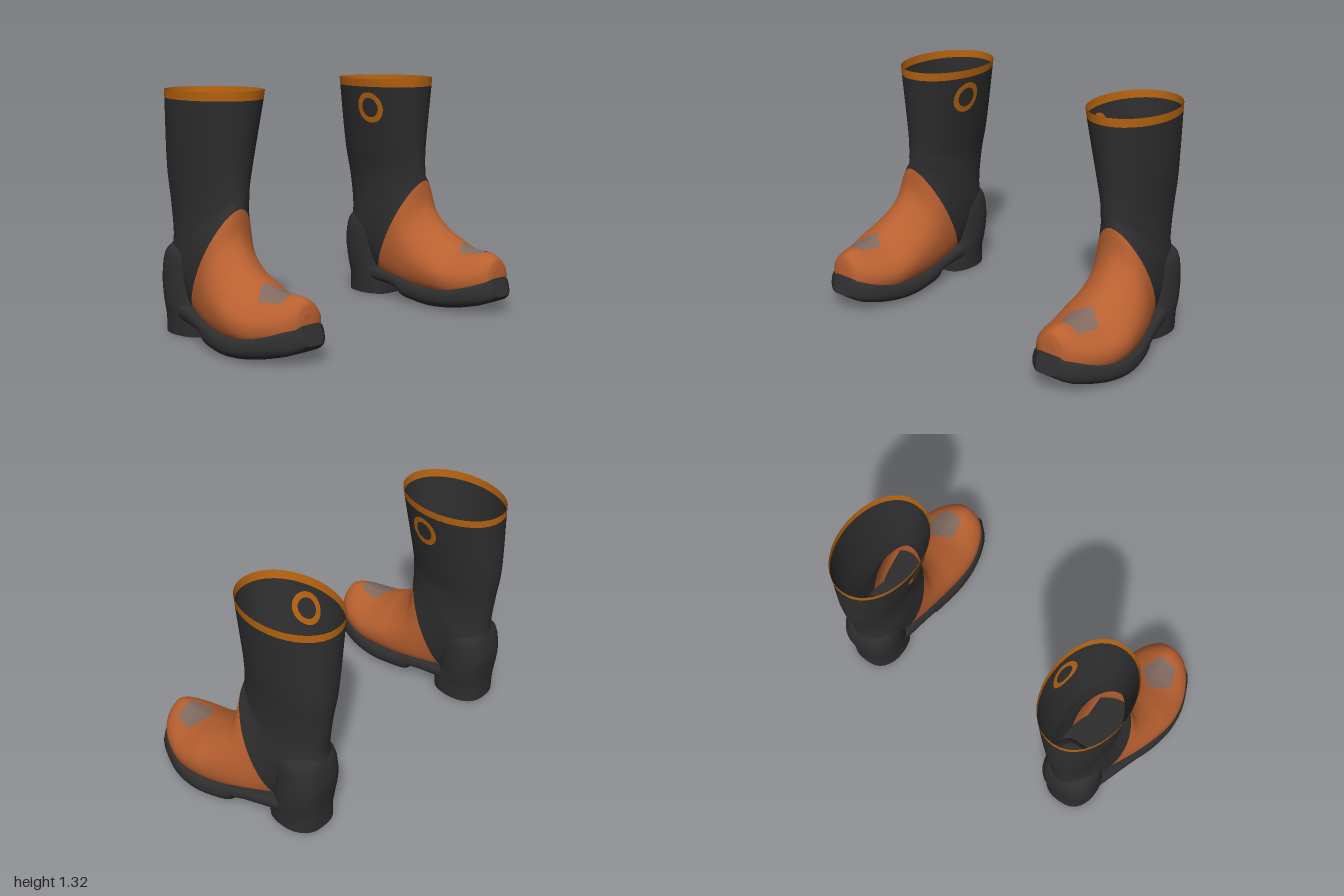
import * as THREE from 'three';

const mat = (name, color) => {
  const m = new THREE.MeshStandardMaterial({ color, side: THREE.DoubleSide });
  m.name = name;
  return m;
};

const SEG = 36;

// One closed section: [z, y of front, z, y of back, xInner, xOuter],
// with its widest point shifted by skew and its corners squared by exponents
function section([fz, fy, bz, by, x0, x1], [skew, eFront, eBack]) {
  return Array.from({ length: SEG }, (_, j) => {
    const a = (j / SEG) * Math.PI * 2, s = Math.sin(a), c = Math.cos(a);
    const t = Math.pow((1 - c) / 2, skew);
    const w = Math.abs(s) < 1e-6 ? 0 : Math.sign(s) * Math.pow(Math.abs(s), c > 0 ? eFront : eBack);
    return new THREE.Vector3((x0 + x1) / 2 + w * (x1 - x0) / 2, fy + (by - fy) * t, fz + (bz - fz) * t);
  });
}

// Smooth skin over a list of sections, with a cap at the end and, if wanted, the start
function loft(defs, style, sub, capStart) {
  const rings = defs.map((d, i) => section(d, style(i))), rows = (defs.length - 1) * sub;
  const curves = rings[0].map((_, j) => new THREE.CatmullRomCurve3(rings.map(r => r[j])));
  const pos = [], idx = [];
  for (let i = 0; i <= rows; i++)
    for (const c of curves) pos.push(...c.getPoint(i / rows).toArray());
  for (let i = 0; i < rows; i++)
    for (let j = 0; j < SEG; j++) {
      const a = i * SEG + j, b = i * SEG + (j + 1) % SEG;
      idx.push(a, a + SEG, b, b, a + SEG, b + SEG);
    }
  const cap = (row, flip) => {
    const start = pos.length / 3, mid = [0, 0, 0];
    for (let j = 0; j < SEG; j++)
      for (let d = 0; d < 3; d++) {
        const v = pos[(row * SEG + j) * 3 + d];
        pos.push(v);
        mid[d] += v / SEG;
      }
    pos.push(...mid);
    for (let j = 0; j < SEG; j++) {
      const a = start + j, b = start + (j + 1) % SEG;
      idx.push(start + SEG, ...(flip ? [a, b] : [b, a]));
    }
  };
  if (capStart) cap(0, true);
  cap(rows, false);
  const g = new THREE.BufferGeometry();
  g.setAttribute('position', new THREE.Float32BufferAttribute(pos, 3));
  g.setIndex(idx);
  g.computeVertexNormals();
  return g;
}

// Lays a flat pattern on a surface by casting every vertex along dir
function drape(geo, target, place, dir, offset) {
  const p = geo.attributes.position, ray = new THREE.Raycaster();
  for (let i = 0; i < p.count; i++) {
    const from = place(p.getX(i), p.getY(i));
    ray.set(from, dir);
    const v = ray.intersectObject(target)[0].point.addScaledVector(dir, -offset);
    p.setXYZ(i, v.x, v.y, v.z);
  }
  geo.computeVertexNormals();
  return geo;
}

// Copy reflected across x = 0, with corner order restored
function mirrorX(group) {
  const out = new THREE.Group();
  for (const m of group.children) {
    const g = m.geometry.clone().applyMatrix4(new THREE.Matrix4().makeScale(-1, 1, 1));
    const ix = g.index;
    for (let i = 0; i < ix.count; i += 3) {
      const b = ix.getX(i + 1);
      ix.setX(i + 1, ix.getX(i + 2));
      ix.setX(i + 2, b);
    }
    const copy = new THREE.Mesh(g, m.material);
    copy.name = m.name;
    out.add(copy);
  }
  return out;
}

function buildBoot() {
  const rubber = mat('black rubber', 0x2e2e2e);
  const leather = mat('orange leather', 0xb86030);
  const trim = mat('amber trim', 0xb86410);
  const grey = mat('grey patch', 0x826a5f);
  const boot = new THREE.Group();
  const add = (name, geo, material) => {
    const m = new THREE.Mesh(geo, material);
    m.name = name;
    boot.add(m);
    return m;
  };

  // Shaft and foot: sections fan from level at the top to upright at the toe,
  // growing wide and square at the base over the foot
  const step = THREE.MathUtils.smoothstep, sub = 5;
  const upperGeo = loft([
    [0.04, 1.315, -0.58, 1.305, 0.436, 0.882],
    [0.035, 1.267, -0.579, 1.262, 0.443, 0.879],
    [-0.006, 0.9, -0.574, 0.88, 0.516, 0.852],
    [-0.008, 0.81, -0.55, 0.7, 0.544, 0.84],
    [-0.007, 0.78, -0.53, 0.5, 0.55, 0.838],
    [-0.004, 0.75, -0.54, 0.3, 0.55, 0.845],
    [0, 0.71, -0.29, 0.12, 0.555, 0.88],
    [0.012, 0.57, -0.12, 0.09, 0.549, 0.928],
    [0.08, 0.465, 0.05, 0.08, 0.54, 0.97],
    [0.17, 0.4, 0.18, 0.08, 0.533, 0.99],
    [0.28, 0.347, 0.31, 0.08, 0.542, 0.977],
    [0.38, 0.335, 0.41, 0.1, 0.568, 0.94],
    [0.47, 0.336, 0.49, 0.12, 0.612, 0.885],
    [0.52, 0.31, 0.53, 0.14, 0.658, 0.832],
    [0.535, 0.26, 0.54, 0.16, 0.7, 0.79],
  ], i => {
    const foot = step(i, 4, 8) * (1 - step(i, 12, 15));
    return [1 - 0.3 * foot, 0.95, 0.95 - 0.6 * foot];
  }, sub, false);
  const band = sub * SEG * 6;
  upperGeo.addGroup(0, band, 0);
  upperGeo.addGroup(band, 5 * band, 1);
  upperGeo.addGroup(6 * band, upperGeo.index.count - 6 * band, 2);
  const upper = add('upper', upperGeo, [trim, rubber, leather]);

  // Fore sole with curled toe and raised arch
  add('sole', loft([
    [-0.35, 0.17, -0.35, 0.08, 0.575, 0.865],
    [-0.075, 0.142, -0.075, 0.06, 0.544, 0.948],
    [-0.05, 0.138, -0.05, 0.025, 0.542, 0.955],
    [0.05, 0.122, 0.05, 0.008, 0.532, 0.983],
    [0.18, 0.116, 0.18, 0, 0.524, 1],
    [0.31, 0.13, 0.31, 0.01, 0.533, 0.987],
    [0.41, 0.155, 0.42, 0.03, 0.56, 0.947],
    [0.49, 0.18, 0.51, 0.056, 0.602, 0.896],
    [0.54, 0.203, 0.578, 0.1, 0.675, 0.805],
  ], () => [1, 0.12, 0.3], 3, true), rubber);

  // Heel block with the bulging counter above it
  add('heel', loft([
    [-0.32, 0.485, -0.515, 0.485, 0.6, 0.8],
    [-0.29, 0.45, -0.54, 0.44, 0.56, 0.85],
    [-0.28, 0.31, -0.558, 0.31, 0.546, 0.868],
    [-0.27, 0.18, -0.542, 0.18, 0.552, 0.872],
    [-0.225, 0.1, -0.535, 0.1, 0.562, 0.866],
    [-0.225, 0, -0.535, 0, 0.565, 0.862],
  ], () => [1, 0.45, 0.72], 3, true), rubber);

  // Inner floor
  const floor = new THREE.CircleGeometry(1, 28).rotateX(-Math.PI / 2);
  floor.scale(0.145, 1, 0.25).translate(0.705, 0.34, -0.27);
  add('insole', floor, rubber);

  // Oval badge on both faces of the inner shaft wall
  for (const [name, offset] of [['outerBadge', 0.004], ['innerBadge', -0.004]])
    add(name, drape(new THREE.RingGeometry(0.057, 0.09, 40, 3), upper,
      (x, y) => new THREE.Vector3(0, 1.143 + y, -0.215 + x * 0.95),
      new THREE.Vector3(1, 0, 0), offset), trim);

  // Five-sided patch on the toe
  const side = Math.PI * 2 / 5;
  add('toePatch', drape(new THREE.RingGeometry(0.0005, 0.108, 40, 5), upper, (x, y) => {
    const a = Math.atan2(y, x) - Math.PI / 2 + Math.PI * 4;
    const k = Math.cos(side / 2) / Math.cos((a % side) - side / 2);
    return new THREE.Vector3(0.78 + x * k * 0.95, 2, 0.342 - y * k);
  }, new THREE.Vector3(0, -1, 0), 0.004), grey);
  return boot;
}

export function createModel() {
  const model = new THREE.Group();
  model.name = 'boots';
  const left = buildBoot(), right = mirrorX(left);
  left.name = 'leftBoot';
  right.name = 'rightBoot';
  model.add(left, right);
  return model;
}
